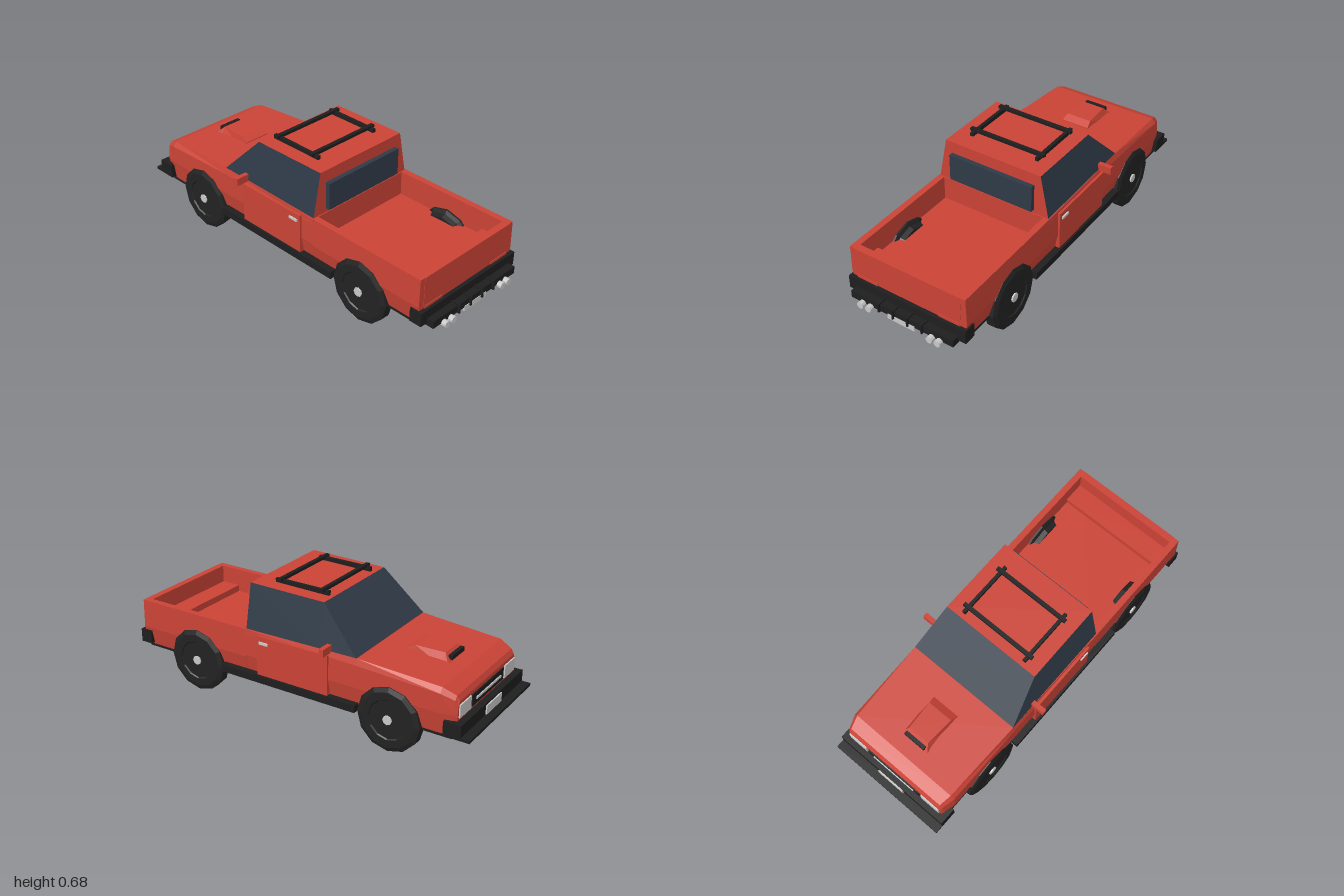
import * as THREE from 'three';

const mat = (name, color) => {
  const m = new THREE.MeshStandardMaterial({ color });
  m.name = name;
  return m;
};

export function createModel() {
  const truck = new THREE.Group();
  truck.name = 'pickupTruck';
  const red = mat('red paint', 0xca4336);
  const glass = mat('dark glass', 0x2f3a47);
  const black = mat('black trim', 0x1e1e1e);
  const rubber = mat('tyre rubber', 0x222222);
  const silver = mat('silver', 0xc8c8c8);

  const add = (name, geo, material) => {
    const mesh = new THREE.Mesh(geo, material);
    mesh.name = name;
    truck.add(mesh);
    return mesh;
  };
  // Box given by its limits on each axis
  const box = (name, m, x0, x1, y0, y1, z0, z1) =>
    add(name, new THREE.BoxGeometry(x1 - x0, y1 - y0, z1 - z0), m)
      .position.set((x0 + x1) / 2, (y0 + y1) / 2, (z0 + z1) / 2);
  // Same box on both sides of the model
  const pair = (name, m, x0, x1, ...rest) => {
    box(name + 'Left', m, x0, x1, ...rest);
    box(name + 'Right', m, -x1, -x0, ...rest);
  };
  const flat = (geo) => {
    const g = geo.index ? geo.toNonIndexed() : geo;
    g.computeVertexNormals();
    return g;
  };

  // Loft through mirrored sections [z, [x, y], ...], each listed bottom to top
  const loft = (sections, pick = () => 0) => {
    const rings = sections.map(([z, ...half]) => [
      ...half.map(([x, y]) => [x, y, z]),
      ...half.slice().reverse().map(([x, y]) => [-x, y, z]),
    ]);
    const n = rings[0].length, pos = [], geo = new THREE.BufferGeometry();
    const tri = (m, ...p) => {
      geo.addGroup(pos.length / 3, 3, m);
      p.forEach((v) => pos.push(...v));
    };
    for (let i = 0; i < rings.length - 1; i++) {
      for (let j = 0; j < n; j++) {
        const k = (j + 1) % n, a = rings[i], b = rings[i + 1], m = pick(i, j);
        tri(m, a[j], a[k], b[k]);
        tri(m, a[j], b[k], b[j]);
      }
    }
    const first = rings[0], last = rings[rings.length - 1];
    for (let j = 1; j < n - 1; j++) {
      tri(0, first[0], first[j + 1], first[j]);
      tri(0, last[0], last[j], last[j + 1]);
    }
    geo.setAttribute('position', new THREE.Float32BufferAttribute(pos, 3));
    geo.computeVertexNormals();
    return geo;
  };

  // Nose, bonnet and lower cab
  add('frontBody', loft([
    [-0.92, [0.295, 0.2], [0.305, 0.27], [0.3, 0.32], [0.29, 0.345]],
    [-0.905, [0.3, 0.18], [0.312, 0.28], [0.305, 0.35], [0.29, 0.37]],
    [-0.84, [0.31, 0.165], [0.327, 0.28], [0.325, 0.375], [0.305, 0.4]],
    [-0.4, [0.31, 0.165], [0.332, 0.28], [0.33, 0.395], [0.32, 0.428]],
    [0.245, [0.31, 0.165], [0.332, 0.28], [0.33, 0.39], [0.328, 0.42]],
  ]), [red]);

  // Cab with full side glass and windscreen
  add('cab', loft([
    [-0.4, [0.321, 0.42], [0.32, 0.43]],
    [-0.19, [0.321, 0.42], [0.275, 0.645]],
    [0.24, [0.321, 0.42], [0.275, 0.65]],
  ], (i, j) => (j === 0 || j === 2 || (i === 0 && j === 1) ? 1 : 0)), [red, glass]);
  box('rearWindow', glass, -0.24, 0.24, 0.442, 0.586, 0.235, 0.265);

  // Load bed: U-shaped section, tailgate and ledge
  const half = [[0.31, 0.165], [0.332, 0.27], [0.328, 0.42], [0.295, 0.42], [0.295, 0.29]];
  const outline = [...half, ...half.slice().reverse().map(([x, y]) => [-x, y])];
  const bed = new THREE.ExtrudeGeometry(
    new THREE.Shape(outline.map(([x, y]) => new THREE.Vector2(x, y))),
    { depth: 0.675, bevelEnabled: false });
  add('loadBed', bed, red).position.z = 0.24;
  box('tailgate', red, -0.3, 0.3, 0.25, 0.4195, 0.88, 0.917);
  box('bedLedge', red, -0.296, 0.296, 0.285, 0.325, 0.77, 0.885);
  pair('tailLight', red, 0.175, 0.295, 0.25, 0.265, 0.91, 0.921);

  // Underside and sills
  box('underside', black, -0.312, 0.312, 0.157, 0.17, -0.9, 0.9);
  pair('sill', black, 0.3, 0.353, 0.158, 0.197, -0.41, 0.385);

  // Doors, handles and mirrors
  pair('door', red, 0.32, 0.341, 0.195, 0.408, -0.25, 0.165);
  pair('doorHandle', silver, 0.335, 0.348, 0.368, 0.381, 0.095, 0.148);
  pair('mirror', red, 0.315, 0.389, 0.42, 0.459, -0.258, -0.233);

  // Bonnet scoop with black intake
  add('bonnetScoop', loft([
    [-0.76, [0.09, 0.38], [0.085, 0.405]],
    [-0.725, [0.09, 0.38], [0.06, 0.442]],
    [-0.57, [0.085, 0.38], [0.07, 0.444]],
    [-0.53, [0.08, 0.38], [0.078, 0.424]],
  ]), [red]);
  box('scoopIntake', black, -0.062, 0.062, 0.412, 0.434, -0.762, -0.742);

  // Nose details
  box('grille', black, -0.165, 0.165, 0.265, 0.325, -0.926, -0.915);
  box('grilleBar', silver, -0.13, 0.13, 0.289, 0.301, -0.931, -0.922);
  pair('headlight', silver, 0.18, 0.292, 0.262, 0.328, -0.927, -0.91);

  // Front bumper
  box('frontBumper', black, -0.335, 0.335, 0.18, 0.25, -0.955, -0.865);
  box('frontLip', black, -0.335, 0.335, 0.175, 0.19, -1, -0.865);
  box('frontPlate', silver, -0.08, 0.08, 0.194, 0.24, -0.962, -0.95);

  // Rear bumper, step, fins and plate
  box('rearBumper', black, -0.338, 0.338, 0.18, 0.252, 0.87, 0.937);
  box('rearStep', black, -0.296, 0.296, 0.168, 0.207, 0.88, 0.975);
  for (const x of [-0.125, -0.042, 0.042, 0.125])
    box('rearFin', black, x - 0.004, x + 0.004, 0.166, 0.215, 0.93, 0.987);
  box('rearPlate', silver, -0.078, 0.078, 0.148, 0.176, 0.968, 0.978);

  // Exhaust pipes
  for (const x of [-0.225, -0.178, 0.178, 0.222]) {
    const pipe = new THREE.CylinderGeometry(0.018, 0.018, 0.1, 10).rotateX(Math.PI / 2);
    add('exhaustPipe', flat(pipe), silver).position.set(x, 0.167, 0.95);
  }

  // Roof rack
  pair('rackRail', black, 0.181, 0.198, 0.645, 0.668, -0.165, 0.145);
  for (const z of [-0.132, 0.112])
    box('rackCrossbar', black, -0.214, 0.214, 0.661, 0.677, z - 0.01, z + 0.01);

  // Wheels: faceted tyres with a small silver hub
  const profile = [[0, 0.25], [0.142, 0.25], [0.15, 0.275], [0.168, 0.285], [0.168, 0.333],
    [0.145, 0.343], [0.105, 0.343], [0.1, 0.337], [0, 0.337]];
  const tyre = flat(new THREE.LatheGeometry(
    profile.map(([r, h]) => new THREE.Vector2(r, h)), 12));
  const hub = flat(new THREE.CylinderGeometry(0.024, 0.024, 0.02, 8));
  for (const side of [-1, 1]) {
    for (const z of [-0.583, 0.555]) {
      const wheel = new THREE.Group();
      wheel.name = (z < 0 ? 'front' : 'rear') + 'Wheel' + (side > 0 ? 'Left' : 'Right');
      const t = new THREE.Mesh(tyre, rubber), h = new THREE.Mesh(hub, silver);
      t.name = 'tyre';
      h.name = 'hub';
      h.position.y = 0.335;
      wheel.add(t, h);
      wheel.rotation.z = -side * Math.PI / 2;
      wheel.position.set(0, 0.168, z);
      truck.add(wheel);
    }
  }
  return truck;
}
